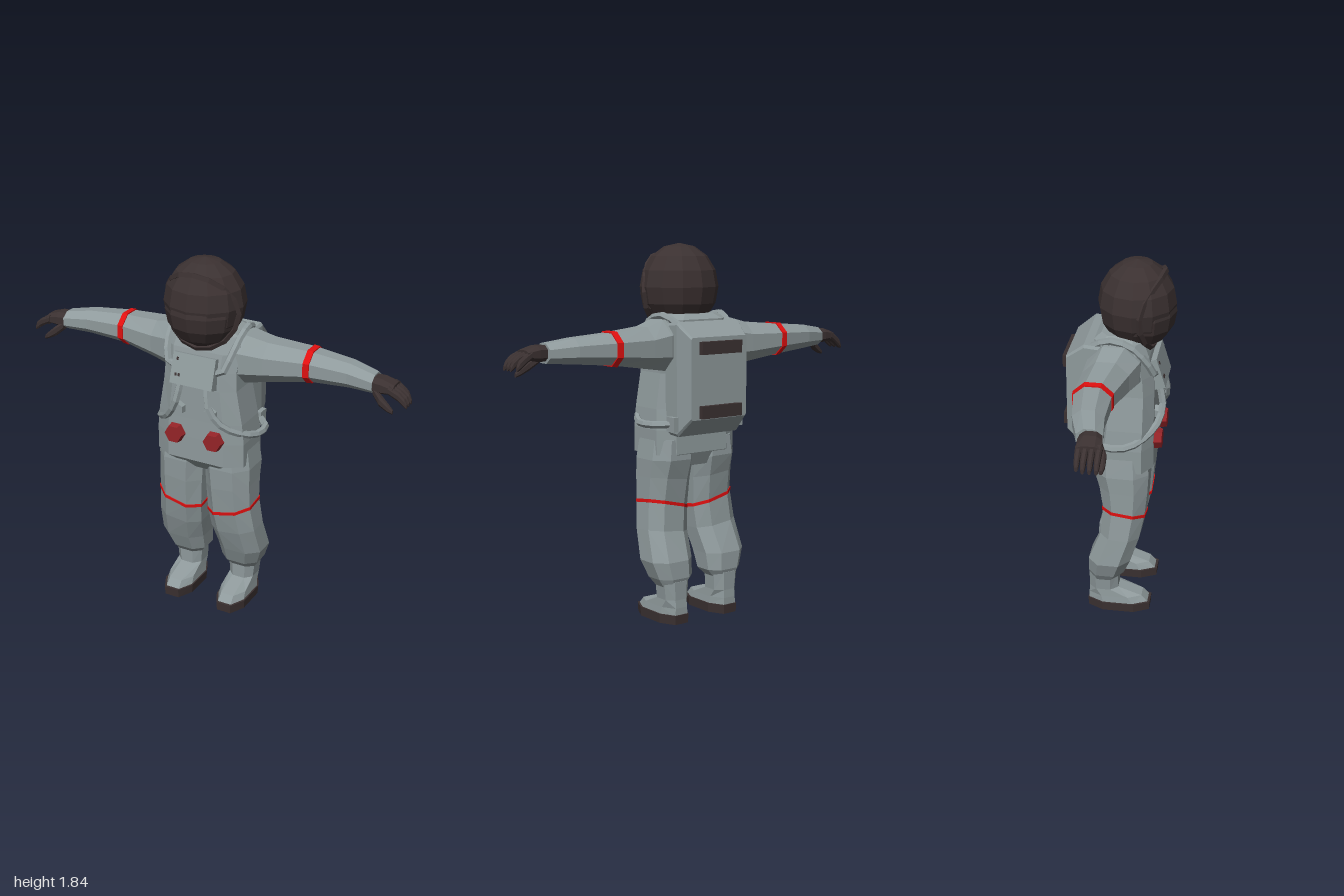
import * as THREE from 'three';

const mat = (name, color) => {
  const m = new THREE.MeshStandardMaterial({ color, flatShading: true });
  m.name = name;
  return m;
};

// Skin a list of octagonal cross-sections [w, u0, u1, v0, v1, k]; k sets how square the corners are.
function loft(rings, place, k = 0.5) {
  const pts = rings.map(([w, u0, u1, v0, v1]) => {
    const cu = (u0 + u1) / 2, cv = (v0 + v1) / 2, a = (u1 - u0) / 2, b = (v1 - v0) / 2;
    return [[1, -k], [1, k], [k, 1], [-k, 1], [-1, k], [-1, -k], [-k, -1], [k, -1]]
      .map(([p, q]) => place(cu + p * a, cv + q * b, w));
  });
  const out = [];
  const tri = (...c) => c.forEach(p => out.push(...p));
  for (let i = 0; i < pts.length - 1; i++) {
    for (let j = 0; j < 8; j++) {
      const n = (j + 1) % 8, A = pts[i], B = pts[i + 1];
      tri(A[j], B[j], B[n]);
      tri(A[j], B[n], A[n]);
    }
  }
  const first = pts[0], last = pts[pts.length - 1];
  for (let j = 1; j < 7; j++) {
    tri(first[0], first[j], first[j + 1]);
    tri(last[0], last[j + 1], last[j]);
  }
  const g = new THREE.BufferGeometry();
  g.setAttribute('position', new THREE.Float32BufferAttribute(out, 3));
  g.computeVertexNormals();
  return g;
}
const upward = (x, z, y) => [x, y, z];        // sections stacked along y
const sideways = (y, v, x) => [x, y, -v];     // sections stacked along x
const backward = (x, y, z) => [x, y, z];      // sections stacked from front to back
const limb = (rings, k) => loft(rings.map(([x, y0, y1, z0, z1]) => [x, y0, y1, -z1, -z0]), sideways, k);

// Mirror a geometry in x and restore its winding
function mirrored(geo) {
  const g = geo.index ? geo.toNonIndexed() : geo.clone();
  g.scale(-1, 1, 1);
  const p = g.attributes.position;
  const a = new THREE.Vector3(), b = new THREE.Vector3();
  for (let i = 0; i < p.count; i += 3) {
    a.fromBufferAttribute(p, i + 1);
    b.fromBufferAttribute(p, i + 2);
    p.setXYZ(i + 1, b.x, b.y, b.z);
    p.setXYZ(i + 2, a.x, a.y, a.z);
  }
  g.computeVertexNormals();
  return g;
}

const tube = (points, r, segments, closed = false, sides = 6) => new THREE.TubeGeometry(
  new THREE.CatmullRomCurve3(points.map(p => new THREE.Vector3(...p)), closed), segments, r, sides, closed);

export function createModel() {
  const suit = mat('suit grey', 0x8f9a9c);
  const dark = mat('dark rubber', 0x3b3131);
  const red = mat('stripe red', 0xe01010);
  const dial = mat('dial red', 0x962428);

  const model = new THREE.Group();
  model.name = 'astronaut';
  const add = (name, geo, m, parent = model) => {
    const mesh = new THREE.Mesh(geo, m);
    mesh.name = name;
    parent.add(mesh);
    return mesh;
  };
  const both = (name, geo, m) => {
    add(name + 'Left', geo, m);
    add(name + 'Right', mirrored(geo), m);
  };

  // Torso with hem and collar
  add('torso', loft([
    [0.765, -0.07, 0.07, -0.08, 0.12],
    [0.83, -0.235, 0.235, -0.105, 0.178],
    [0.95, -0.235, 0.235, -0.1, 0.178],
    [1.05, -0.225, 0.225, -0.085, 0.176],
    [1.22, -0.195, 0.195, -0.075, 0.175],
    [1.31, -0.19, 0.19, -0.09, 0.17],
    [1.4, -0.2, 0.2, -0.11, 0.15],
    [1.475, -0.18, 0.18, -0.11, 0.12],
    [1.5, -0.13, 0.13, -0.08, 0.1],
  ], upward, 0.65), suit);

  // Legs: sections slope up toward the outside and the back
  const slope = (x, z, y) => {
    const f = Math.max(0, 1 - Math.abs(y - 0.57) / 0.25);
    return [x, y + f * (0.25 * (x - 0.135) - 0.14 * (z - 0.04)), z];
  };
  both('leg', loft([
    [0.185, 0.085, 0.225, -0.125, 0.005],
    [0.225, 0.052, 0.25, -0.137, 0.04],
    [0.31, 0.045, 0.28, -0.133, 0.075],
    [0.44, 0.03, 0.268, -0.075, 0.118],
    [0.57, 0.02, 0.252, -0.063, 0.142],
    [0.7, 0.012, 0.25, -0.08, 0.155],
    [0.8, 0.004, 0.25, -0.105, 0.16],
    [0.9, 0.01, 0.235, -0.1, 0.15],
  ], slope), suit);
  both('kneeStripe', loft([
    [0.56, 0.017, 0.256, -0.067, 0.145],
    [0.576, 0.017, 0.256, -0.067, 0.146],
  ], slope), red);

  // Boots and soles
  both('boot', loft([
    [0.04, 0.078, 0.224, -0.138, 0.166],
    [0.08, 0.082, 0.22, -0.138, 0.13],
    [0.12, 0.085, 0.217, -0.135, 0.01],
    [0.21, 0.08, 0.227, -0.136, 0.01],
  ], upward), suit);
  both('sole', loft([
    [0, 0.075, 0.228, -0.141, 0.17],
    [0.046, 0.072, 0.231, -0.143, 0.173],
  ], upward), dark);

  // Arms with red bands
  both('arm', limb([
    [0.1, 1.22, 1.485, -0.11, 0.13],
    [0.2, 1.235, 1.475, -0.13, 0.115],
    [0.3, 1.25, 1.447, -0.135, 0.08],
    [0.5, 1.28, 1.43, -0.14, 0.033],
    [0.7, 1.297, 1.415, -0.11, 0.032],
    [0.83, 1.305, 1.395, -0.07, 0.048],
  ], 0.42), suit);
  both('armBand', limb([
    [0.485, 1.272, 1.437, -0.145, 0.04],
    [0.515, 1.276, 1.435, -0.143, 0.038],
  ], 0.42), red);

  // Gloves: palm, four curled fingers, thumb
  both('palm', limb([
    [0.815, 1.315, 1.388, -0.05, 0.043],
    [0.87, 1.315, 1.388, -0.055, 0.052],
    [0.93, 1.328, 1.37, -0.052, 0.055],
  ]), dark);
  for (let i = 0; i < 4; i++) {
    const z = -0.042 + i * 0.029, tip = i === 0 ? -0.015 : 0;
    both('finger' + (i + 1), limb([
      [0.91, 1.332, 1.37, z - 0.014, z + 0.014],
      [0.96 + tip, 1.308, 1.348, z - 0.013, z + 0.013],
      [0.988 + tip, 1.285, 1.325, z - 0.011, z + 0.011],
      [1 + tip, 1.278, 1.3, z - 0.007, z + 0.007],
    ]), dark);
  }
  both('thumb', limb([
    [0.835, 1.305, 1.35, 0.01, 0.045],
    [0.875, 1.27, 1.32, 0.032, 0.068],
    [0.915, 1.25, 1.285, 0.04, 0.068],
    [0.938, 1.243, 1.262, 0.046, 0.062],
  ]), dark);

  // Helmet shell, bulging visor and bent rim
  const shell = new THREE.SphereGeometry(1, 12, 8);
  shell.scale(0.198, 0.21, 0.185);
  add('helmetShell', shell, dark).position.set(0, 1.625, 0.075);
  const visor = new THREE.SphereGeometry(1, 12, 8);
  visor.scale(0.185, 0.18, 0.17);
  add('visor', visor, dark).position.set(0, 1.59, 0.092);
  const rim = [];
  for (let i = 0; i < 12; i++) {
    const t = i * Math.PI / 6, s = Math.sin(t);
    rim.push([0.188 * Math.cos(t), 1.6 + 0.185 * s, 0.105 + (s > 0 ? 0.1 : 0.05) * s * s]);
  }
  add('visorRim', tube(rim, 0.015, 16, true, 4), dark);

  // Backpack with two handles
  add('backpack', loft([
    [-0.06, -0.185, 0.185, 0.93, 1.46],
    [-0.15, -0.187, 0.187, 0.925, 1.47],
    [-0.237, -0.168, 0.168, 1.01, 1.4],
  ], backward, 0.95), suit);
  for (const [name, y] of [['upperHandle', 1.35], ['lowerHandle', 1.047]]) {
    add(name, new THREE.BoxGeometry(0.24, 0.06, 0.04), dark).position.set(0, y, -0.242);
  }

  // Shoulder straps and life-support hoses
  both('shoulderStrap', tube([[0.15, 1.45, -0.12], [0.175, 1.495, -0.03], [0.18, 1.47, 0.07],
    [0.165, 1.38, 0.15], [0.14, 1.32, 0.175], [0.1, 1.31, 0.175]], 0.018, 8), suit);
  both('hose', tube([[0.07, 1.25, 0.19], [0.09, 1.14, 0.212], [0.15, 1.05, 0.185],
    [0.255, 0.985, 0.07], [0.26, 0.98, -0.05], [0.18, 0.985, -0.13]], 0.018, 12), suit);
  const socket = new THREE.BoxGeometry(0.04, 0.07, 0.06);
  socket.translate(0.19, 0.985, -0.13);
  both('hoseSocket', socket, suit);
  const connector = new THREE.CylinderGeometry(0.032, 0.036, 0.04, 6);
  connector.rotateX(Math.PI / 2);
  connector.translate(0.085, 1.1, 0.185);
  both('connector', connector, suit);

  // Tilted chest unit with small indicator plates
  const unit = new THREE.Group();
  unit.name = 'chestUnit';
  unit.position.set(0, 1.305, 0.175);
  unit.rotation.x = -0.3;
  model.add(unit);
  add('chestBox', new THREE.BoxGeometry(0.225, 0.15, 0.06), suit, unit);
  for (const [x, y] of [[-0.085, -0.03], [-0.068, -0.03], [-0.085, 0.045]]) {
    add('indicator', new THREE.BoxGeometry(0.009, 0.014, 0.006), dark, unit).position.set(x, y, 0.031);
  }

  // Hexagonal belly dials
  const knob = new THREE.CylinderGeometry(0.046, 0.052, 0.045, 6);
  knob.rotateY(Math.PI / 6);
  knob.rotateX(Math.PI / 2);
  knob.translate(0.105, 0.965, 0.192);
  both('dial', knob, dial);

  return model;
}
